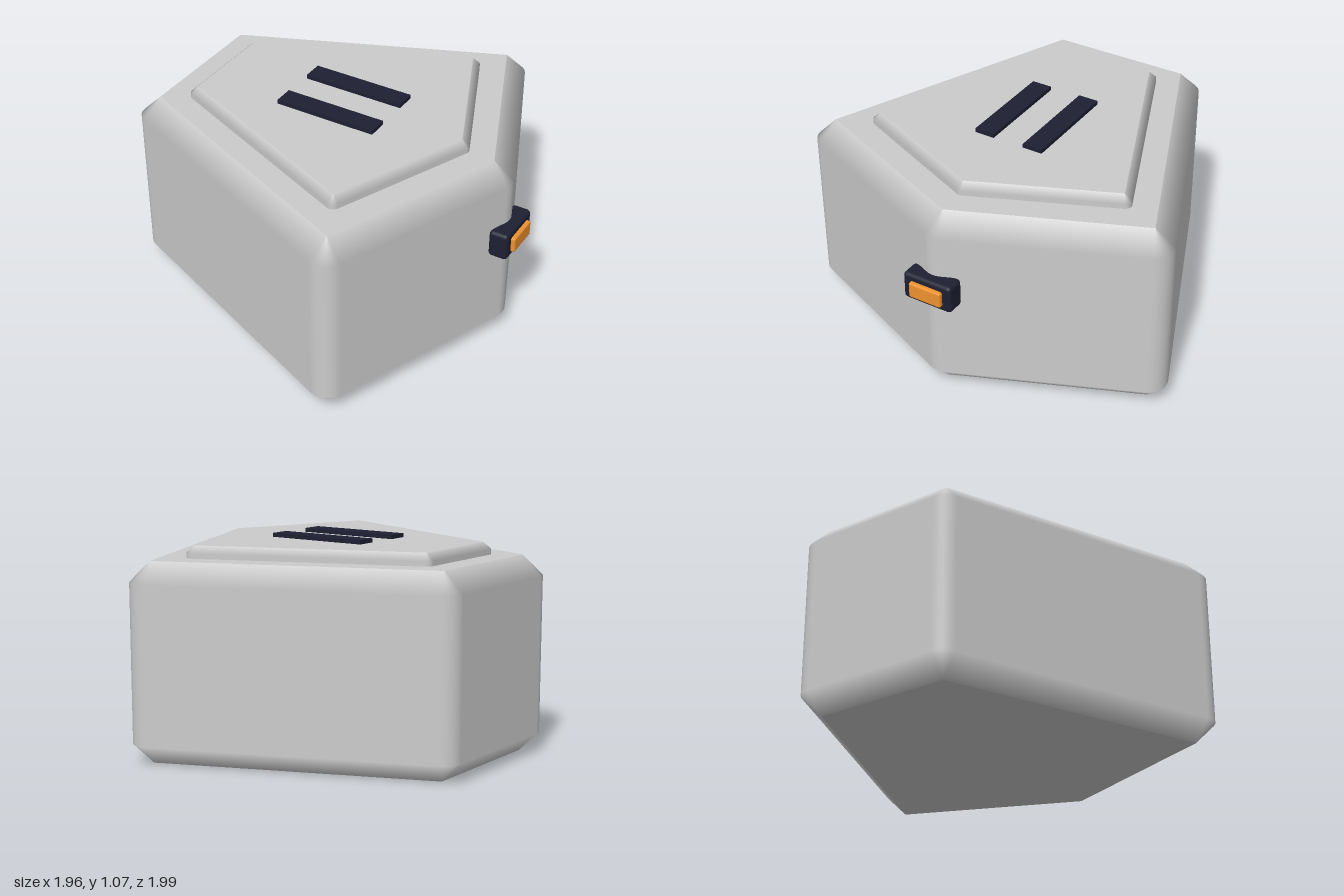
import * as THREE from 'three';
import { RoundedBoxGeometry } from 'three/addons/geometries/RoundedBoxGeometry.js';

const ARC = 6; // segments in each rounded vertical corner

// Corner points [x, z] of a five-sided outline, symmetric in z
const pentagon = (tip, x1, z1, x2, z2) => [[tip, 0], [x1, z1], [x2, z2], [x2, -z2], [x1, -z1]];

// Prism with rounded corners; each ring is [y, outward offset, normal tilt in degrees]
function bevelledPrism(corners, rings) {
  const n = corners.length;
  const outline = [];
  const edgeAngle = (a, b) => Math.atan2(-(b[0] - a[0]), b[1] - a[1]);
  corners.forEach((c, i) => {
    const a0 = edgeAngle(corners[(i + n - 1) % n], c);
    let turn = edgeAngle(c, corners[(i + 1) % n]) - a0;
    if (turn < 0) turn += Math.PI * 2;
    for (let k = 0; k <= ARC; k++) {
      const a = a0 + turn * k / ARC;
      outline.push({ c, dx: Math.cos(a), dz: Math.sin(a) });
    }
  });

  const pos = [], nor = [], idx = [];
  const m = outline.length;

  // Skin
  for (const [y, off, tilt] of rings) {
    const t = THREE.MathUtils.degToRad(tilt);
    for (const { c, dx, dz } of outline) {
      pos.push(c[0] + dx * off, y, c[1] + dz * off);
      nor.push(dx * Math.cos(t), Math.sin(t), dz * Math.cos(t));
    }
  }
  for (let r = 0; r < rings.length - 1; r++) {
    for (let i = 0; i < m; i++) {
      const j = (i + 1) % m;
      const a0 = r * m + i, b0 = r * m + j, a1 = a0 + m, b1 = b0 + m;
      idx.push(a0, a1, b1, a0, b1, b0);
    }
  }

  // Flat caps
  for (const [ring, up] of [[rings[0], -1], [rings[rings.length - 1], 1]]) {
    const base = pos.length / 3;
    for (const { c, dx, dz } of outline) {
      pos.push(c[0] + dx * ring[1], ring[0], c[1] + dz * ring[1]);
      nor.push(0, up, 0);
    }
    for (let i = 1; i < m - 1; i++) {
      if (up > 0) idx.push(base, base + i + 1, base + i);
      else idx.push(base, base + i, base + i + 1);
    }
  }

  const g = new THREE.BufferGeometry();
  g.setAttribute('position', new THREE.Float32BufferAttribute(pos, 3));
  g.setAttribute('normal', new THREE.Float32BufferAttribute(nor, 3));
  g.setIndex(idx);
  return g;
}

export function createModel() {
  const model = new THREE.Group();
  model.name = 'pentagonalCase';
  const grey = new THREE.MeshStandardMaterial({ color: 0xcccccc });
  const dark = new THREE.MeshStandardMaterial({ color: 0x1e2033 });
  const orange = new THREE.MeshStandardMaterial({ color: 0xf0922e });

  const add = (name, geometry, material, x = 0, y = 0, z = 0) => {
    const mesh = new THREE.Mesh(geometry, material);
    mesh.name = name;
    mesh.position.set(x, y, z);
    model.add(mesh);
  };

  // Body, chamfered at top and bottom
  add('body', bevelledPrism(pentagon(0.8, 0.425, 0.897, -0.88, 0.357),
    [[0, 0, -45], [0.1, 0.1, 0], [0.885, 0.1, 0], [0.985, 0, 45]]), grey);

  // Raised lid panel
  add('lidPanel', bevelledPrism(pentagon(0.628, 0.332, 0.688, -0.718, 0.256),
    [[0.98, 0.036, 0], [1.01, 0.036, 0], [1.045, 0, 45]]), grey);

  // Two slats on the lid
  for (const [name, z] of [['frontSlat', 0.133], ['backSlat', -0.137]]) {
    add(name, new THREE.BoxGeometry(0.535, 0.03, 0.105), dark, -0.025, 1.05, z);
  }

  // Latch on the pointed corner
  add('latchHousing', new RoundedBoxGeometry(0.1, 0.145, 0.264, 3, 0.02), dark, 0.904, 0.603, 0);
  add('latchButton', new RoundedBoxGeometry(0.07, 0.082, 0.176, 3, 0.01), orange, 0.94, 0.602, 0);

  return model;
}
